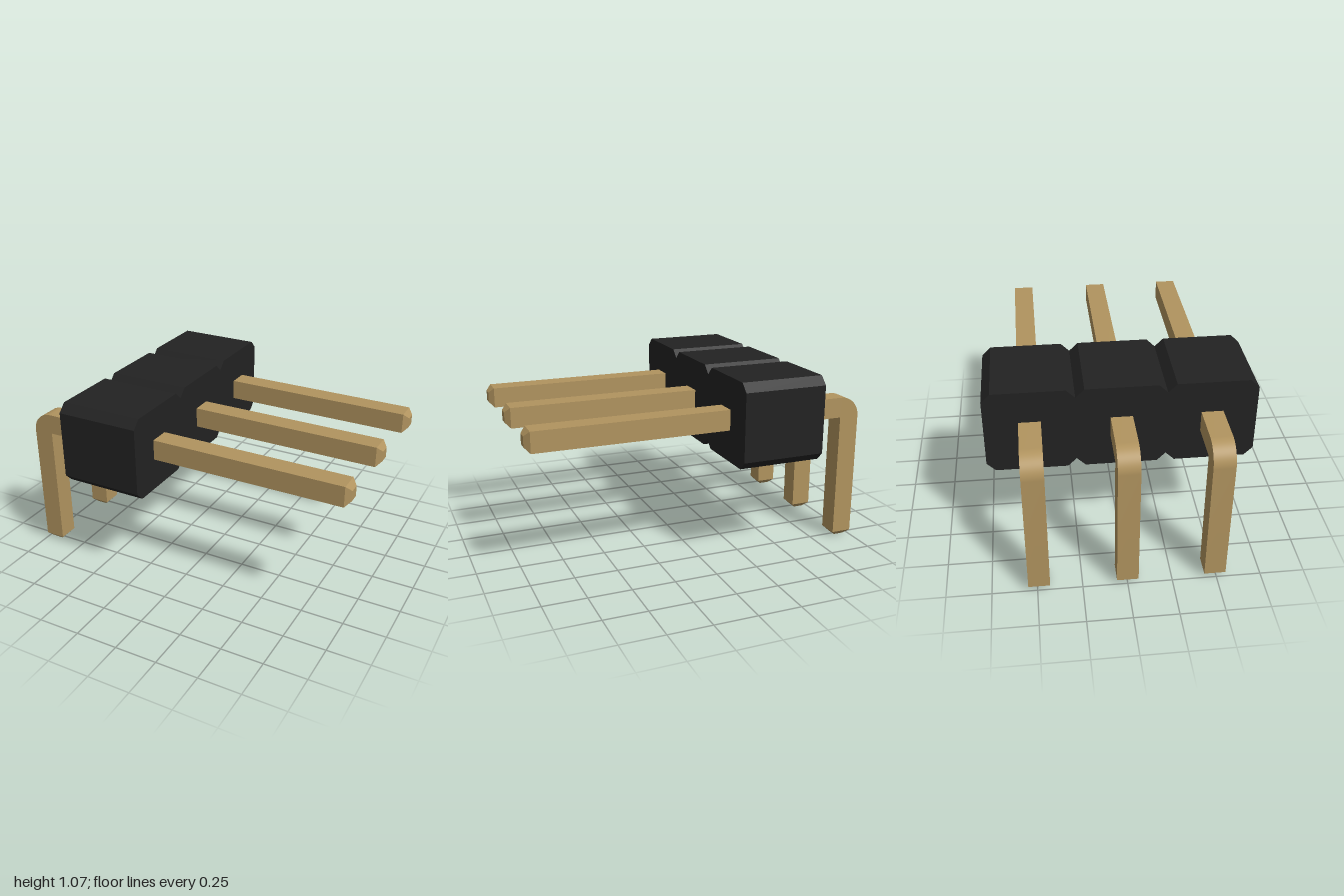
import * as THREE from 'three';
import { toCreasedNormals } from 'three/addons/utils/BufferGeometryUtils.js';

const PITCH = 0.49;   // spacing of the pins, also the size of one housing cell
const PIN = 0.12;     // pin thickness
const TIP = 0.03;     // length of the tapered tip
const BASE = 0.58;    // underside of the housing
const PIN_Y = BASE + PITCH / 2;

export function createModel() {
  const plastic = new THREE.MeshStandardMaterial({ color: 0x222222 });
  plastic.name = 'black plastic';
  const brass = new THREE.MeshStandardMaterial({ color: 0xb1945f });
  brass.name = 'brass';

  const model = new THREE.Group();
  model.name = 'pinHeader';
  const add = (parent, name, geometry, material) => {
    const mesh = new THREE.Mesh(geometry, material);
    mesh.name = name;
    parent.add(mesh);
    return mesh;
  };

  // Housing: three chamfered cells in one outline, extruded along x
  const h = PITCH / 2, c = 0.048;
  const lower = [], upper = [];
  for (const z of [-PITCH, 0, PITCH]) {
    if (z === -PITCH) lower.push([z - h, c]);
    lower.push([z - h + c, 0], [z + h - c, 0], [z + h, c]);
  }
  for (const [z, y] of lower) upper.unshift([z, PITCH - y]);
  const outline = new THREE.Shape([...lower, ...upper].map(([z, y]) => new THREE.Vector2(z, y)));
  const housing = new THREE.ExtrudeGeometry(outline, { depth: 0.49, bevelEnabled: false });
  housing.rotateY(Math.PI / 2).translate(-0.65, BASE, 0);
  add(model, 'housing', housing, plastic);

  // Bent pin: L-shaped profile, rounded on the outside of the bend
  const top = PIN_Y + PIN / 2, bottom = PIN_Y - PIN / 2;
  const profile = new THREE.Shape();
  profile.moveTo(-1, TIP);
  profile.lineTo(-1 + PIN, TIP);
  profile.lineTo(-1 + PIN, bottom);
  profile.lineTo(1 - TIP, bottom);
  profile.lineTo(1 - TIP, top);
  profile.lineTo(-1 + PIN, top);
  profile.absarc(-1 + PIN, bottom, PIN, Math.PI / 2, Math.PI, false);
  profile.lineTo(-1, TIP);
  const pinGeometry = toCreasedNormals(
    new THREE.ExtrudeGeometry(profile, { depth: PIN, bevelEnabled: false, curveSegments: 10 })
      .translate(0, 0, -PIN / 2), 0.6);

  // Tapered square tip pointing up +y, from full thickness to half
  const tipGeometry = new THREE.CylinderGeometry(0.03 * Math.SQRT2, PIN / 2 * Math.SQRT2, TIP, 4)
    .rotateY(Math.PI / 4).toNonIndexed();
  tipGeometry.computeVertexNormals();

  for (const z of [-PITCH, 0, PITCH]) {
    const pin = new THREE.Group();
    pin.name = 'pin';
    pin.position.z = z;
    add(pin, 'bentPin', pinGeometry, brass);
    const contactTip = add(pin, 'contactTip', tipGeometry, brass);
    contactTip.position.set(1 - TIP / 2, PIN_Y, 0);
    contactTip.rotation.z = -Math.PI / 2;
    const legTip = add(pin, 'legTip', tipGeometry, brass);
    legTip.position.set(-1 + PIN / 2, TIP / 2, 0);
    legTip.rotation.z = Math.PI;
    model.add(pin);
  }
  return model;
}
